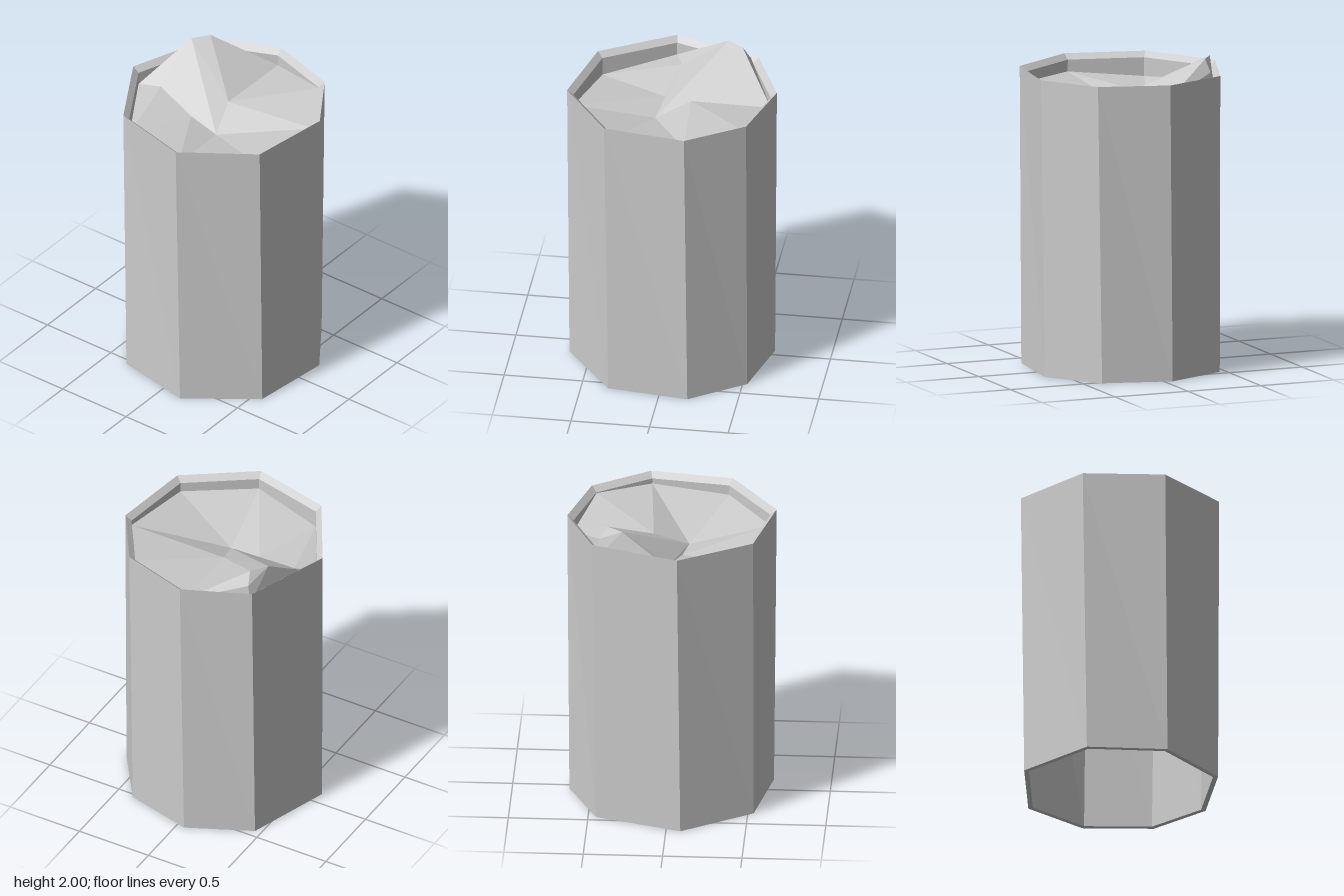
import * as THREE from 'three';

const material = () => new THREE.MeshStandardMaterial({
  color: 0xcccccc, flatShading: true, side: THREE.DoubleSide,
});

// Irregular octagon as [x, z], running back, right, front, left
const outline = [
  [-0.07, -0.65], [0.475, -0.45], [0.655, -0.03], [0.525, 0.41],
  [0.165, 0.645], [-0.355, 0.565], [-0.655, 0.13], [-0.535, -0.375],
];

// The outline scaled, twisted about y and placed at a height
const ring = (scale, y, twist = 0) => outline.map(([x, z]) =>
  new THREE.Vector3(x * scale, y, z * scale).applyAxisAngle(new THREE.Vector3(0, 1, 0), twist));

function meshFromTriangles(name, points) {
  const geometry = new THREE.BufferGeometry().setFromPoints(points);
  geometry.computeVertexNormals();
  const mesh = new THREE.Mesh(geometry, material());
  mesh.name = name;
  return mesh;
}

// Hollow wall: outside, sloping rim, inside and bottom edge
function createWall() {
  const twist = 0.035;
  const rings = [ring(0.98, 0.005, twist), ring(1, 1.9), ring(0.94, 1.865), ring(0.93, 0.005, twist)];
  const points = [];
  rings.forEach((a, k) => {
    const b = rings[(k + 1) % rings.length];
    a.forEach((p, i) => {
      const j = (i + 1) % a.length;
      points.push(p, b[i], b[j], p, b[j], a[j]);
    });
  });
  return meshFromTriangles('canWall', points);
}

// Crumpled lid: dented centre, sunken left part and a flap bent up at the back
function createLid() {
  const rimHeights = [1.78, 1.80, 1.79, 1.86, 1.83, 1.80, 1.79, 1.745];
  const v = {
    A: new THREE.Vector3(-0.11, 1.69, 0.035),
    B: new THREE.Vector3(0.11, 1.79, -0.035),
    C: new THREE.Vector3(-0.08, 1.72, -0.185),
    D: new THREE.Vector3(-0.015, 1.79, -0.475),
    E: new THREE.Vector3(0.285, 2, -0.46),
    F: new THREE.Vector3(0.385, 2, -0.385),
    G: new THREE.Vector3(0.435, 1.92, -0.4),
  };
  ring(0.94, 0).forEach((p, i) => { v[i] = p.setY(rimHeights[i]); });
  // Each word is one triangle: digits are rim corners, letters are creases
  const faces = 'A54 A4B B43 B32 A65 ' // front fan
    + 'C6A C76 CD7 ADC D07 '           // sunken part
    + 'B2F BFE ABE AED DE0 '           // raised flap
    + 'E10 EG1 EFG F2G G21';           // back of the flap
  const points = faces.split(' ').flatMap((face) => [...face].map((key) => v[key]));
  return meshFromTriangles('crumpledLid', points);
}

export function createModel() {
  const model = new THREE.Group();
  model.name = 'openCan';
  model.add(createWall(), createLid());
  return model;
}
